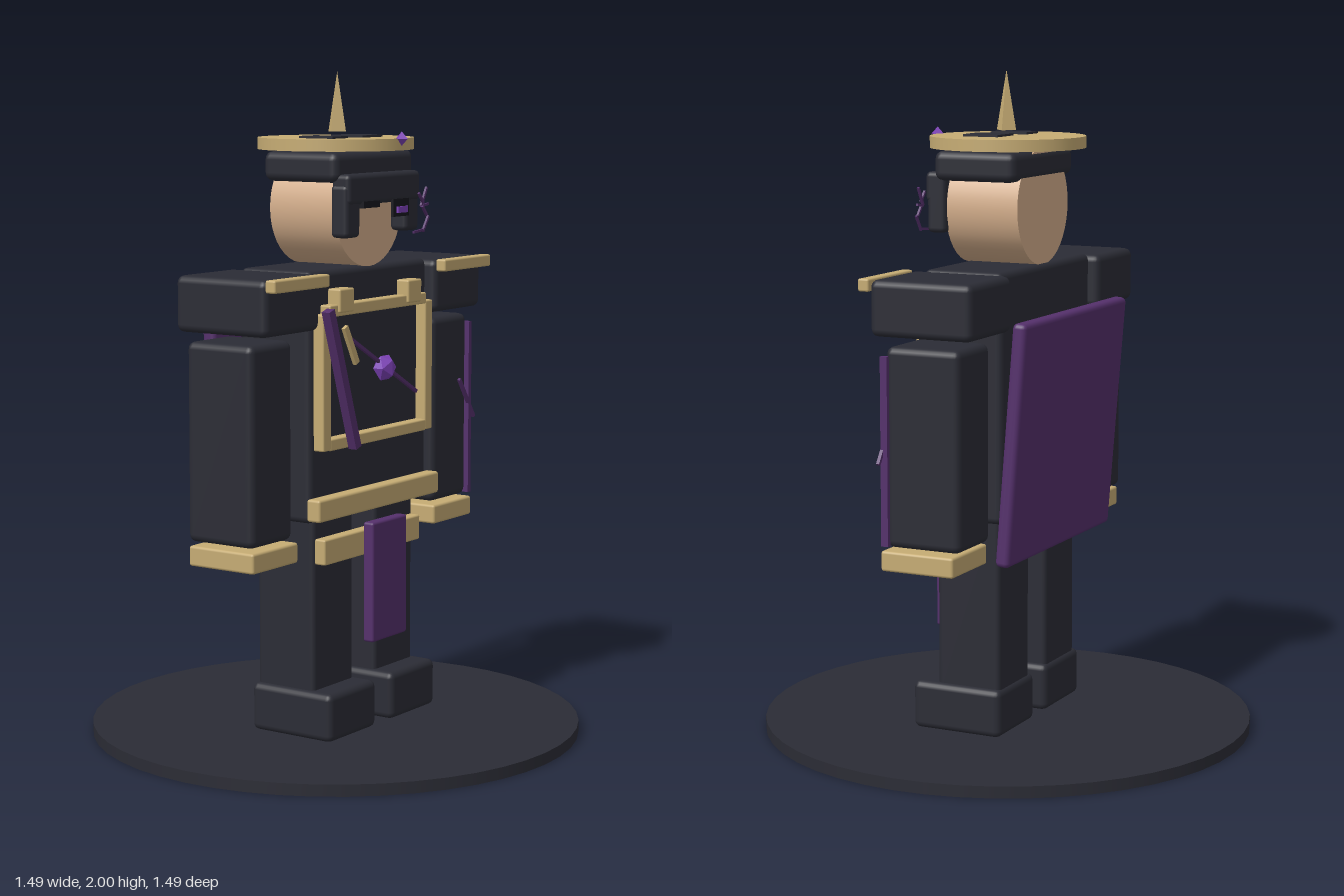
import * as THREE from 'three';
import { RoundedBoxGeometry } from 'three/addons/geometries/RoundedBoxGeometry.js';

const material = (name, color, flatShading = false) =>
  Object.assign(new THREE.MeshStandardMaterial({ color, flatShading }), { name });

export function createModel() {
  const root = new THREE.Group();
  root.name = 'armouredFigure';
  const dark = material('charcoal', 0x2b2c35);
  const gold = material('gold', 0xc6ac74);
  const purple = material('purple', 0x55306c);
  const violet = material('violet', 0x7e42b8, true);
  const skin = material('skin', 0xd5af8c);
  const black = material('black', 0x18181e);

  function add(name, geometry, mat, x = 0, y = 0, z = 0) {
    const mesh = new THREE.Mesh(geometry, mat);
    mesh.name = name;
    mesh.position.set(x, y, z);
    root.add(mesh);
    return mesh;
  }
  // Box between two corners, with softened edges when r > 0
  function box(name, mat, x0, x1, y0, y1, z0, z1, r = 0) {
    const s = [x1 - x0, y1 - y0, z1 - z0];
    const g = r ? new RoundedBoxGeometry(...s, 2, r) : new THREE.BoxGeometry(...s);
    return add(name, g, mat, (x0 + x1) / 2, (y0 + y1) / 2, (z0 + z1) / 2);
  }
  // Straight bar in the xy plane from one point to another
  function bar(name, mat, x0, y0, x1, y1, z, width, depth) {
    const g = new THREE.BoxGeometry(width, Math.hypot(x1 - x0, y1 - y0), depth);
    const mesh = add(name, g, mat, (x0 + x1) / 2, (y0 + y1) / 2, z);
    mesh.rotation.z = Math.atan2(x0 - x1, y1 - y0);
    return mesh;
  }

  // Stand
  add('base', new THREE.CylinderGeometry(0.745, 0.745, 0.035, 48), dark, 0, 0.0175, 0);

  // Limbs, mirrored
  for (const [side, s] of [['left', 1], ['right', -1]]) {
    const limb = (name, mat, a, b, ...rest) =>
      box(side + name, mat, Math.min(a * s, b * s), Math.max(a * s, b * s), ...rest);
    limb('Foot', dark, 0.04, 0.285, 0.035, 0.18, -0.11, 0.18, 0.02);
    limb('Leg', dark, 0.057, 0.265, 0.15, 0.72, -0.1, 0.105, 0.015);
    limb('Arm', dark, 0.37, 0.57, 0.655, 1.237, -0.125, 0.11, 0.022);
    limb('Shoulder', dark, 0.303, 0.57, 1.262, 1.425, -0.163, 0.16, 0.022);
    limb('ShoulderTrim', gold, 0.305, 0.572, 1.39, 1.427, 0.16, 0.195, 0.006);
    limb('Cuff', gold, 0.363, 0.582, 0.587, 0.647, -0.11, 0.122, 0.008);
    limb('ChestFrameSide', gold, 0.25, 0.29, 0.905, 1.305, 0.12, 0.16, 0.005);
    limb('Buckle', gold, 0.143, 0.217, 1.305, 1.375, 0.12, 0.168, 0.006);
  }

  // Torso and its trim
  box('torso', dark, -0.31, 0.31, 0.69, 1.43, -0.13, 0.125, 0.02);
  box('chestFrameTop', gold, -0.255, 0.255, 1.295, 1.33, 0.12, 0.16, 0.005);
  box('chestFrameBottom', gold, -0.255, 0.255, 0.903, 0.938, 0.12, 0.16, 0.005);
  box('belt', gold, -0.32, 0.32, 0.7, 0.767, 0.12, 0.167, 0.008);
  box('lowerBelt', gold, -0.255, 0.255, 0.56, 0.637, 0.1, 0.14, 0.006);
  box('tabard', purple, -0.092, 0.092, 0.305, 0.67, 0.163, 0.2, 0.008);
  bar('sash', purple, -0.295, 1.32, -0.158, 0.905, 0.18, 0.028, 0.028);
  bar('sashCord', gold, -0.247, 1.27, -0.188, 1.16, 0.205, 0.02, 0.012);
  bar('chestChain', purple, -0.18, 1.23, 0.175, 1.035, 0.175, 0.01, 0.01);
  const gem = add('chestGem', new THREE.IcosahedronGeometry(0.043, 0), violet, 0, 1.125, 0.178);
  gem.scale.z = 0.75;

  // Markings on the left arm
  box('armStripe', purple, 0.565, 0.581, 0.66, 1.21, 0.098, 0.12);
  bar('armSlash', purple, 0.515, 1.03, 0.602, 0.902, 0.116, 0.01, 0.01);

  // Cape, leaning away from the shoulders
  const cape = add('cape', new RoundedBoxGeometry(0.725, 0.72, 0.045, 2, 0.015),
    purple, 0, 0.936, -0.183);
  cape.rotation.x = -0.08;

  // Head and hair
  const head = add('head', new THREE.CylinderGeometry(0.175, 0.175, 0.235, 40), skin, 0, 1.6, 0.002);
  head.rotation.x = Math.PI / 2;
  box('hairCap', dark, -0.207, 0.207, 1.68, 1.768, -0.12, 0.145, 0.025);
  box('fringe', dark, -0.19, 0.19, 1.615, 1.705, 0.115, 0.18, 0.015);
  box('rightSidelock', dark, -0.195, -0.12, 1.52, 1.675, 0.115, 0.175, 0.015);
  box('leftSidelock', dark, 0.115, 0.19, 1.525, 1.675, 0.115, 0.175, 0.015);

  // Eyes and the cracked mark beside the left one
  box('rightEye', black, -0.12, -0.035, 1.605, 1.625, 0.118, 0.184);
  box('leftEye', black, 0.035, 0.12, 1.572, 1.625, 0.176, 0.184);
  box('leftIris', violet, 0.052, 0.105, 1.583, 1.602, 0.184, 0.19);
  const cracks = [
    [0.17, 1.655, 0.14, 1.6], [0.14, 1.6, 0.165, 1.57], [0.165, 1.57, 0.135, 1.525],
    [0.14, 1.6, 0.178, 1.605], [0.12, 1.64, 0.145, 1.61], [0.085, 1.525, 0.135, 1.53],
  ];
  cracks.forEach(([x0, y0, x1, y1], i) =>
    bar('faceCrack' + (i + 1), purple, x0, y0, x1, y1, 0.213 + (i % 3) * 0.005, 0.007, 0.007));

  // Hat
  add('hatBrim', new THREE.CylinderGeometry(0.233, 0.233, 0.035, 48), gold, 0, 1.788, 0);
  box('hatPlateRight', dark, -0.145, -0.065, 1.804, 1.812, -0.03, 0.09);
  box('hatPlateLeft', dark, -0.005, 0.1, 1.804, 1.812, -0.015, 0.1);
  const spikeGeometry = new THREE.ConeGeometry(0.032, 0.178, 4).toNonIndexed();
  spikeGeometry.computeVertexNormals();
  add('hatSpike', spikeGeometry, gold, 0, 1.911, 0.005);
  add('hatGem', new THREE.OctahedronGeometry(0.021, 0), violet, 0, 1.805, 0.236);
  return root;
}
